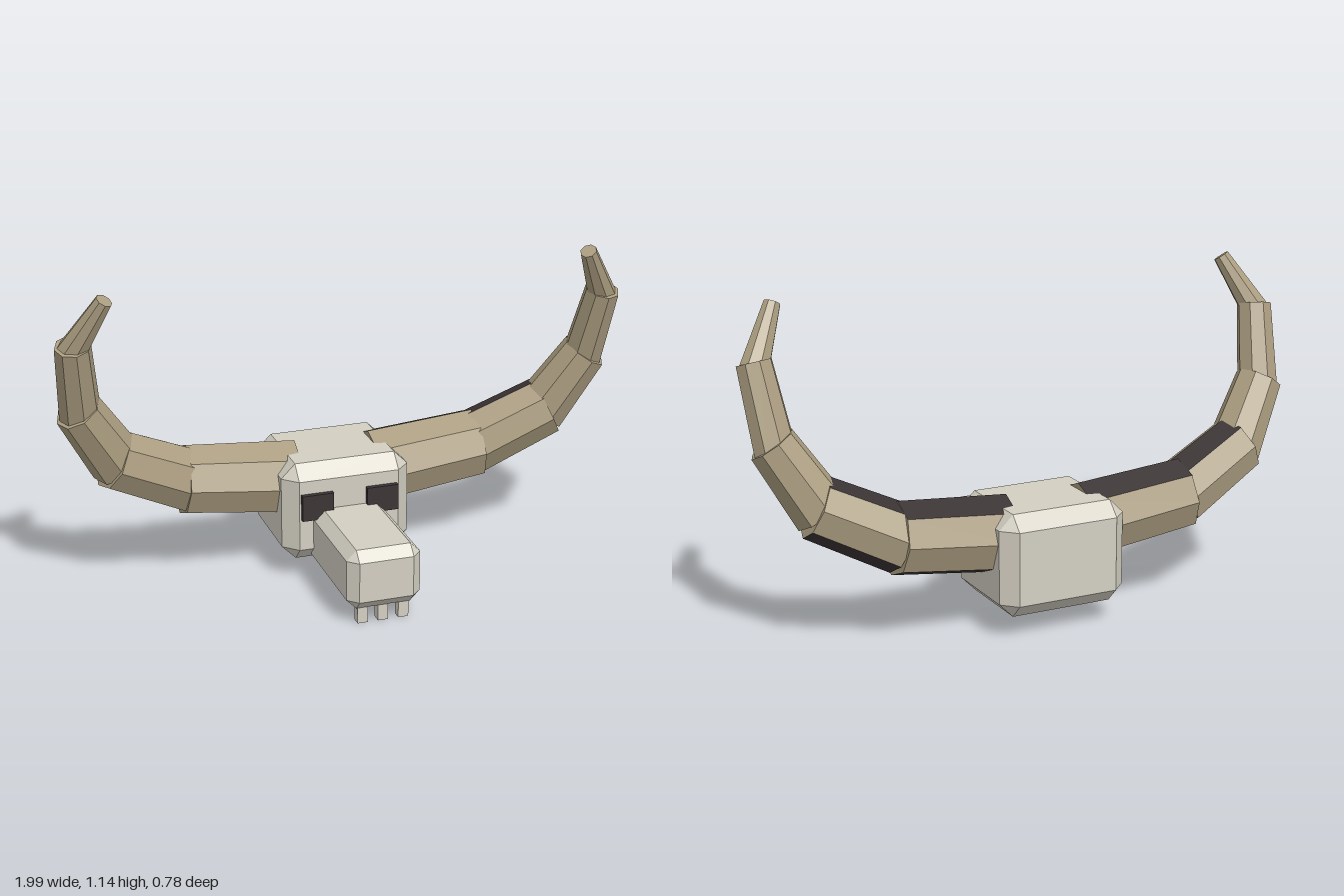
import * as THREE from 'three';
import { ConvexGeometry } from 'three/addons/geometries/ConvexGeometry.js';

const material = (name, color) => {
  const m = new THREE.MeshStandardMaterial({ color, flatShading: true });
  m.name = name;
  return m;
};

// Box with flat chamfers on every edge, given by its min and max corners
function chamferBox(min, max, c) {
  const centre = min.map((v, i) => (v + max[i]) / 2);
  const half = min.map((v, i) => (max[i] - v) / 2);
  const points = [];
  for (const sx of [-1, 1]) for (const sy of [-1, 1]) for (const sz of [-1, 1]) {
    const s = [sx, sy, sz];
    for (let axis = 0; axis < 3; axis++) {
      points.push(new THREE.Vector3(...centre.map((v, i) => v + s[i] * (half[i] - (i === axis ? 0 : c)))));
    }
  }
  return new ConvexGeometry(points);
}

export function createModel() {
  const model = new THREE.Group();
  model.name = 'hornedSkull';
  const bone = material('bone', 0xd3cfc2);
  const horn = material('horn', 0xab9d80);
  const dark = material('dark', 0x3b3435);

  const add = (parent, name, geometry, mat) => {
    const mesh = new THREE.Mesh(geometry, mat);
    mesh.name = name;
    parent.add(mesh);
    return mesh;
  };

  // Head and muzzle
  add(model, 'cranium', chamferBox([-0.23, 0.075, -0.39], [0.23, 0.43, 0], 0.05), bone);
  add(model, 'muzzle', chamferBox([-0.13, 0.057, -0.07], [0.13, 0.27, 0.39], 0.035), bone);

  // Teeth under the muzzle tip
  for (const x of [-0.072, 0, 0.072]) {
    add(model, 'tooth', new THREE.BoxGeometry(0.036, 0.07, 0.034), bone).position.set(x, 0.035, 0.338);
  }

  // Horn joints: x, y, z, radius where a segment ends, radius where the next one starts
  const joints = [
    [0.15, 0.32, -0.2, 0.135, 0.135],
    [0.525, 0.36, -0.2, 0.126, 0.116],
    [0.78, 0.485, -0.155, 0.108, 0.097],
    [0.905, 0.69, -0.1, 0.082, 0.071],
    [0.933, 0.94, -0.022, 0.061, 0.051],
    [0.84, 1.122, 0.057, 0.029, 0.029],
  ];

  for (const side of [1, -1]) {
    // Eye socket plate
    add(model, side > 0 ? 'leftEye' : 'rightEye', new THREE.BoxGeometry(0.113, 0.093, 0.038), dark)
      .position.set(side * 0.1175, 0.2865, -0.001);

    // Horn of overlapping eight-sided segments
    const group = new THREE.Group();
    group.name = side > 0 ? 'leftHorn' : 'rightHorn';
    model.add(group);
    for (let i = 0; i < joints.length - 1; i++) {
      const a = new THREE.Vector3(side * joints[i][0], joints[i][1], joints[i][2]);
      const b = new THREE.Vector3(side * joints[i + 1][0], joints[i + 1][1], joints[i + 1][2]);
      const direction = b.clone().sub(a).normalize();
      if (i > 0) a.addScaledVector(direction, -0.015);
      if (i < joints.length - 2) b.addScaledVector(direction, 0.015);
      const geometry = new THREE.CylinderGeometry(joints[i + 1][3], joints[i][4], a.distanceTo(b), 8);
      // The two rear facets beside the ridges are dark on the first two segments
      geometry.clearGroups();
      for (let f = 0; f < 8; f++) {
        geometry.addGroup(f * 6, 6, i < 2 && (f === 2 || f === 5) ? 1 : 0);
      }
      geometry.addGroup(48, 48, 0);
      const mesh = add(group, 'hornSegment', geometry, [horn, dark]);
      mesh.position.copy(a).add(b).multiplyScalar(0.5);
      mesh.quaternion.setFromUnitVectors(new THREE.Vector3(0, 1, 0), direction);
    }
  }
  return model;
}
